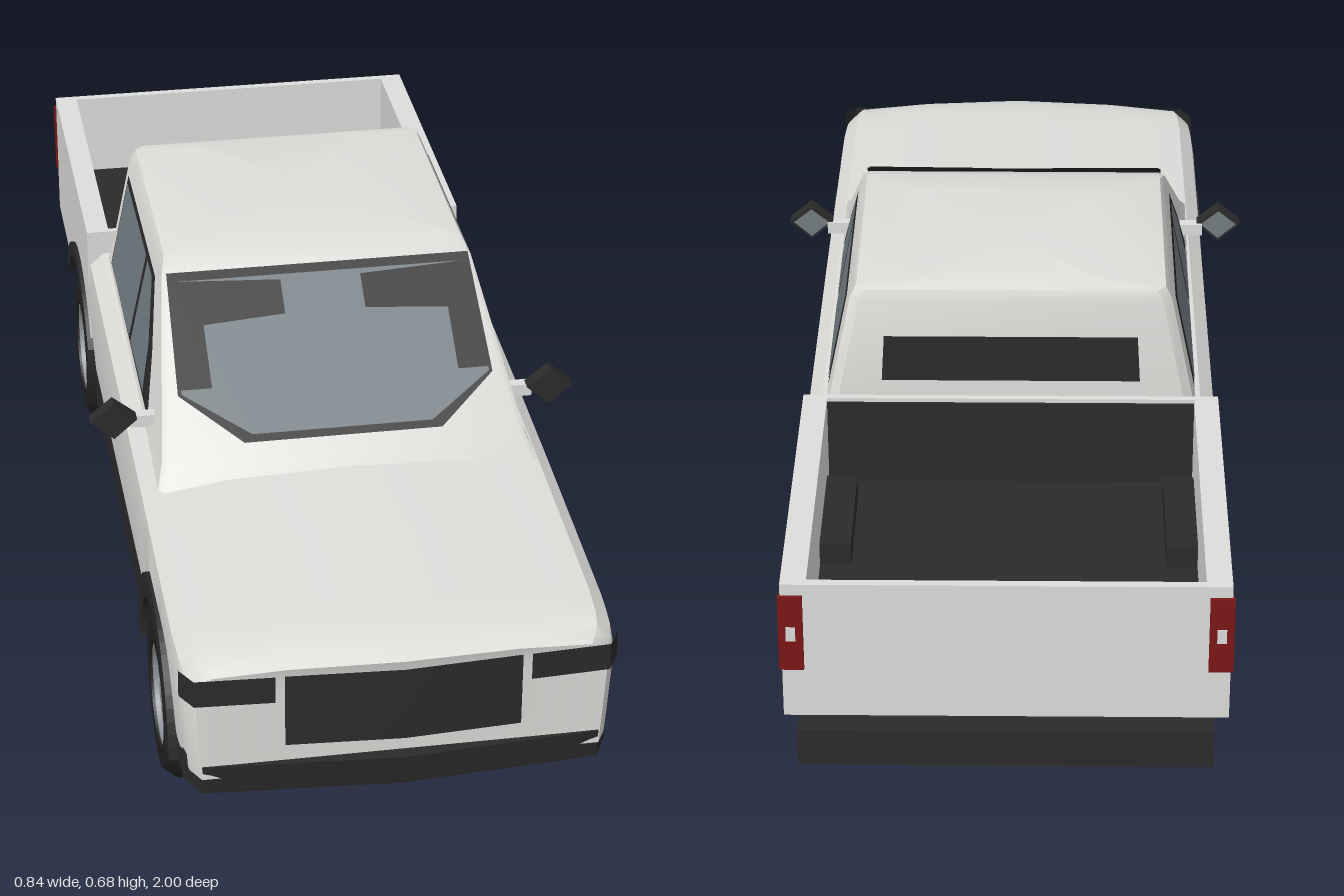
import * as THREE from 'three';
import { toCreasedNormals } from 'three/addons/utils/BufferGeometryUtils.js';

const mat = (name, color, side = THREE.FrontSide) => {
  const m = new THREE.MeshStandardMaterial({ color, side });
  m.name = name;
  return m;
};

// Skins a list of closed rings (same point count) and caps both ends.
function loft(rings, crease = 0.6) {
  const n = rings[0].length, pos = rings.flat(2), idx = [];
  const centre = (ring) => {
    pos.push(...[0, 1, 2].map((k) => ring.reduce((s, p) => s + p[k], 0) / n));
    return pos.length / 3 - 1;
  };
  for (let i = 0; i < rings.length - 1; i++)
    for (let j = 0; j < n; j++) {
      const a = i * n + j, b = i * n + (j + 1) % n;
      idx.push(a, b, b + n, a, b + n, a + n);
    }
  const c0 = centre(rings[0]), c1 = centre(rings.at(-1)), last = (rings.length - 1) * n;
  for (let j = 0; j < n; j++) {
    const k = (j + 1) % n;
    idx.push(c0, k, j, c1, last + j, last + k);
  }
  const g = new THREE.BufferGeometry();
  g.setAttribute('position', new THREE.Float32BufferAttribute(pos, 3));
  g.setIndex(idx);
  return toCreasedNormals(g, crease);
}

// Flat outline in (u, v), placed on a surface by a mapping rule.
function panel(points, map) {
  const g = new THREE.ShapeGeometry(new THREE.Shape(points.map((p) => new THREE.Vector2(...p))));
  const p = g.attributes.position;
  for (let i = 0; i < p.count; i++) p.setXYZ(i, ...map(p.getX(i), p.getY(i)));
  g.computeVertexNormals();
  return g;
}

// Upright strip following a plan path of [x, z] points.
function strip(path, y0, y1) {
  const pos = path.flatMap(([x, z]) => [x, y0, z, x, y1, z]), idx = [];
  for (let i = 0; i < path.length - 1; i++) {
    const a = 2 * i;
    idx.push(a, a + 2, a + 3, a, a + 3, a + 1);
  }
  const g = new THREE.BufferGeometry();
  g.setAttribute('position', new THREE.Float32BufferAttribute(pos, 3));
  g.setIndex(idx);
  return toCreasedNormals(g, 0.5);
}

// Extrudes a (z, y) side shape from x0 to x1.
function sideExtrude(shape, x0, x1) {
  const g = new THREE.ExtrudeGeometry(shape, { depth: x1 - x0, bevelEnabled: false, curveSegments: 14 });
  return g.rotateY(-Math.PI / 2).scale(1, 1, 1).translate(x1, 0, 0);
}

function archRing(z, y, outer, inner, a) {
  const s = new THREE.Shape();
  s.absarc(z, y, outer, a, Math.PI - a, false);
  if (inner) s.absarc(z, y, inner, Math.PI - a, a, true);
  return s;
}

export function createModel() {
  const model = new THREE.Group();
  const D = THREE.DoubleSide;
  const paint = mat('white paint', 0xdededb);
  const trim = mat('dark trim', 0x2b2b2b, D);
  const under = mat('black underside', 0x181818);
  const rubber = mat('tyre rubber', 0x222222);
  const glass = mat('tinted glass', 0x737d82, D);
  const metal = mat('wheel metal', 0x8b9196);
  const red = mat('tail light red', 0x7c1718);

  const add = (name, geo, m, parent = model) => {
    const mesh = new THREE.Mesh(geo, m);
    mesh.name = name;
    parent.add(mesh);
    return mesh;
  };
  const box = (name, m, x0, x1, y0, y1, z0, z1) =>
    add(name, new THREE.BoxGeometry(x1 - x0, y1 - y0, z1 - z0)
      .translate((x0 + x1) / 2, (y0 + y1) / 2, (z0 + z1) / 2), m);

  // Lower body: sections along z, the bottom edge follows the front arches
  const lerp = (table, z) => {
    const i = Math.max(1, table.findIndex((p) => p[0] >= z));
    const [a, b] = [table[i - 1], table[i]];
    return a[1] + (b[1] - a[1]) * (z - a[0]) / (b[0] - a[0]);
  };
  const topLine = [[-0.355, 0.46], [0.3, 0.45], [0.6, 0.438], [0.9, 0.425], [0.96, 0.417], [0.995, 0.405]];
  const width = [[-0.355, 1], [0.85, 1], [0.92, 0.99], [0.96, 0.975], [0.995, 0.93]];
  const zs = [-0.355, -0.1, 0.2, 0.44];
  for (let k = 0; k <= 14; k++) zs.push(0.65 - 0.193 * Math.cos(Math.PI * k / 14));
  zs.push(0.88, 0.92, 0.96, 0.985, 0.995);
  const section = (z) => {
    const t = lerp(topLine, z), w = lerp(width, z), d = z - 0.65;
    const b = Math.max(0.2, 0.145 + Math.sqrt(Math.max(0, 0.04 - d * d)));
    const half = [[0.346, b], [0.356, 0.356], [0.35, t - 0.034], [0.326, t - 0.012], [0.2, t - 0.003]];
    const loop = [...half, [0, t], ...half.map(([x, y]) => [-x, y]).reverse()];
    const bend = 0.06 * Math.min(1, Math.max(0, (z - 0.9) / 0.09));
    return loop.map(([x, y]) => [x * w, y, z - bend * Math.abs(x * w)]);
  };
  add('lowerBody', loft(zs.map(section)), paint);

  // Cab: rings stacked upward as [y, half width, front z, rear z]
  const cabRings = [[0.43, 0.325, 0.485, -0.353], [0.46, 0.312, 0.44, -0.352], [0.655, 0.272, 0.148, -0.348],
    [0.673, 0.262, 0.1, -0.342], [0.682, 0.15, 0.02, -0.32]];
  add('cab', loft(cabRings.map(([y, w, f, r]) => [[w - 0.01, f], [w, f - 0.012], [w, r + 0.015], [w - 0.015, r],
    [-w + 0.015, r], [-w, r + 0.015], [-w, f - 0.012], [-w + 0.01, f]].map(([x, z]) => [x, y, z]))), paint);

  // Windscreen with dark surround and sun shades
  const onScreen = (o) => (x, y) => [x, y + o * 0.8, 0.44 - 1.497 * (y - 0.46) + o];
  add('windscreenFrame', panel([[-0.265, 0.661], [-0.272, 0.53], [-0.17, 0.476], [0.17, 0.476], [0.272, 0.53],
    [0.265, 0.661]], onScreen(0.004)), trim);
  add('windscreen', panel([[-0.26, 0.651], [-0.266, 0.531], [-0.155, 0.484], [0.155, 0.484], [0.266, 0.531],
    [0.26, 0.651]], onScreen(0.006)), glass);
  // Rear window
  add('rearWindow', panel([[-0.22, 0.505], [0.22, 0.505], [0.215, 0.59], [-0.215, 0.59]],
    (x, y) => [x, y, -0.356]), trim);

  const wheelParts = (x, z, s) => {
    const wheel = new THREE.Group();
    wheel.name = 'wheel';
    wheel.position.set(x, 0.144, z);
    wheel.rotation.z = -s * Math.PI / 2;
    model.add(wheel);
    const turn = (pts, n) => toCreasedNormals(new THREE.LatheGeometry(pts.map((p) => new THREE.Vector2(...p)), n), 0.5);
    add('tyre', turn([[0.088, -0.05], [0.125, -0.05], [0.143, -0.028], [0.143, 0.028], [0.125, 0.05],
      [0.09, 0.05], [0.088, 0.02]], 16), rubber, wheel);
    add('rimRing', turn([[0.092, 0.03], [0.092, 0.046], [0.08, 0.046], [0.077, 0.02]], 24), metal, wheel);
    add('brakeDisc', new THREE.CylinderGeometry(0.088, 0.088, 0.06, 20).translate(0, -0.01, 0), trim, wheel);
    add('hub', new THREE.CylinderGeometry(0.022, 0.026, 0.026, 12).translate(0, 0.03, 0), metal, wheel);
    for (let k = 0; k < 6; k++)
      add('spoke', new THREE.BoxGeometry(0.026, 0.016, 0.07).translate(0, 0.03, 0.048).rotateY(k * Math.PI / 3), metal, wheel);
  };

  for (const s of [1, -1]) {
    const pair = (a, b) => (s > 0 ? [a, b] : [-b, -a]);
    add('sunShade', panel([[0.07, 0.645], [0.262, 0.651], [0.268, 0.535], [0.213, 0.535], [0.213, 0.602], [0.07, 0.608]]
      .map(([x, y]) => [s * x, y]), onScreen(0.008)), trim);
    // Side windows
    const onSide = (o) => (z, y) => [s * (0.312 - 0.205 * (y - 0.46) + o), y, z];
    add('sideWindowFrame', panel([[0.27, 0.453], [0.2, 0.545], [0.1, 0.638], [-0.295, 0.638], [-0.295, 0.46]], onSide(0.004)), trim);
    add('frontSideWindow', panel([[0.195, 0.464], [0.165, 0.545], [0.085, 0.629], [0.022, 0.629], [0.015, 0.464]], onSide(0.006)), glass);
    add('rearSideWindow', panel([[-0.005, 0.464], [0.002, 0.629], [-0.282, 0.629], [-0.282, 0.464]], onSide(0.006)), glass);
    // Headlights wrap round the corner
    add('headlight', strip([[0.205, 0.988], [0.333, 0.981], [0.353, 0.945]].map(([x, z]) => [s * x, z]), 0.345, 0.393), trim);
    // Door mirror
    const diamond = new THREE.Shape([[0.34, 0.48], [0.38, 0.445], [0.42, 0.48], [0.38, 0.513]]
      .map(([x, y]) => new THREE.Vector2(s * x, y)));
    add('mirrorShell', new THREE.ExtrudeGeometry(diamond, { depth: 0.026, bevelEnabled: false }).translate(0, 0, 0.29), trim);
    add('mirrorGlass', panel([[0.347, 0.48], [0.38, 0.451], [0.413, 0.48], [0.38, 0.507]],
      (x, y) => [s * x, y, 0.288]), glass);
    box('mirrorArm', paint, ...pair(0.305, 0.35), 0.458, 0.48, 0.285, 0.305);
    // Arch trims and front wheel housings
    add('frontArchTrim', sideExtrude(archRing(0.65, 0.145, 0.204, 0.163, 0.05), ...pair(0.2, 0.36)), trim);
    add('frontWheelHousing', sideExtrude(archRing(0.65, 0.145, 0.2, 0, 0), ...pair(0.2, 0.245)), trim);
    add('rearArchTrim', sideExtrude(archRing(-0.55, 0.121, 0.226, 0.198, 0.56), ...pair(0.31, 0.36)), trim);
    wheelParts(s * 0.305, 0.65, s);
    wheelParts(s * 0.305, -0.55, s);
    // Bed side with arch cut-out
    const side = new THREE.Shape();
    side.moveTo(-0.97, 0.24).lineTo(-0.74, 0.24);
    side.absarc(-0.55, 0.121, 0.222, Math.PI - 0.565, 0.565, true);
    side.lineTo(-0.372, 0.24).lineTo(-0.372, 0.485).lineTo(-0.97, 0.485).closePath();
    add('bedSide', sideExtrude(side, ...pair(0.312, 0.353)), paint);
    box('bedWheelBox', trim, ...pair(0.26, 0.313), 0.32, 0.365, -0.66, -0.44);
    // Tail lights
    box('tailLight', red, ...pair(0.318, 0.357), 0.33, 0.465, -0.976, -0.967);
    box('reverseLight', paint, ...pair(0.33, 0.345), 0.385, 0.41, -0.978, -0.97);
    // Chassis rails and sills
    box('chassisRail', trim, ...pair(0.16, 0.21), 0.13, 0.215, -0.92, -0.35);
    box('sill', trim, ...pair(0.3, 0.347), 0.135, 0.202, -0.353, 0.47);
    box('cabMount', trim, ...pair(0.1, 0.19), 0.2, 0.38, -0.375, -0.35);
  }

  // Nose: grille and bumper
  add('grille', strip([[-0.19, 0.988], [0, 0.9995], [0.19, 0.988]], 0.262, 0.393), trim);
  add('frontBumper', loft([[0.15, 0.9, 0.965], [0.168, 0.99, 0.99], [0.225, 0.985, 1]].map(([y, w, f]) =>
    [[0.325, f - 0.022], [0.349, f - 0.07], [0.349, 0.845], [-0.349, 0.845], [-0.349, f - 0.07], [-0.325, f - 0.022], [0, f]]
      .map(([x, z]) => [x * w, y, z]))), trim);

  // Bed
  box('bedFloor', trim, -0.313, 0.313, 0.305, 0.325, -0.957, -0.372);
  box('bedFrontWall', paint, -0.313, 0.313, 0.24, 0.485, -0.384, -0.372);
  box('bedFrontLiner', trim, -0.312, 0.312, 0.325, 0.478, -0.389, -0.384);
  box('tailgate', paint, -0.313, 0.313, 0.24, 0.485, -0.97, -0.955);
  box('rearBumper', trim, -0.33, 0.33, 0.165, 0.232, -1, -0.935);

  // Underside
  box('cabUnderside', under, -0.3, 0.3, 0.14, 0.2, -0.353, 0.45);
  box('engineUnderside', under, -0.21, 0.21, 0.14, 0.22, 0.45, 0.86);
  box('frontCrossMember', trim, -0.227, 0.227, 0.113, 0.142, 0.78, 0.85);
  box('transmissionTray', trim, -0.06, 0.06, 0.105, 0.14, -0.13, 0.1);
  box('fuelTank', trim, -0.15, 0.15, 0.118, 0.16, -0.4, -0.13);
  for (const z of [-0.9, -0.72, -0.42]) box('crossMember', trim, -0.17, 0.17, 0.15, 0.2, z - 0.025, z + 0.025);
  add('rearAxle', new THREE.CylinderGeometry(0.022, 0.022, 0.54, 10).rotateZ(Math.PI / 2).translate(0, 0.144, -0.55), trim);
  box('differential', trim, -0.055, 0.055, 0.11, 0.19, -0.6, -0.5);
  return model;
}
